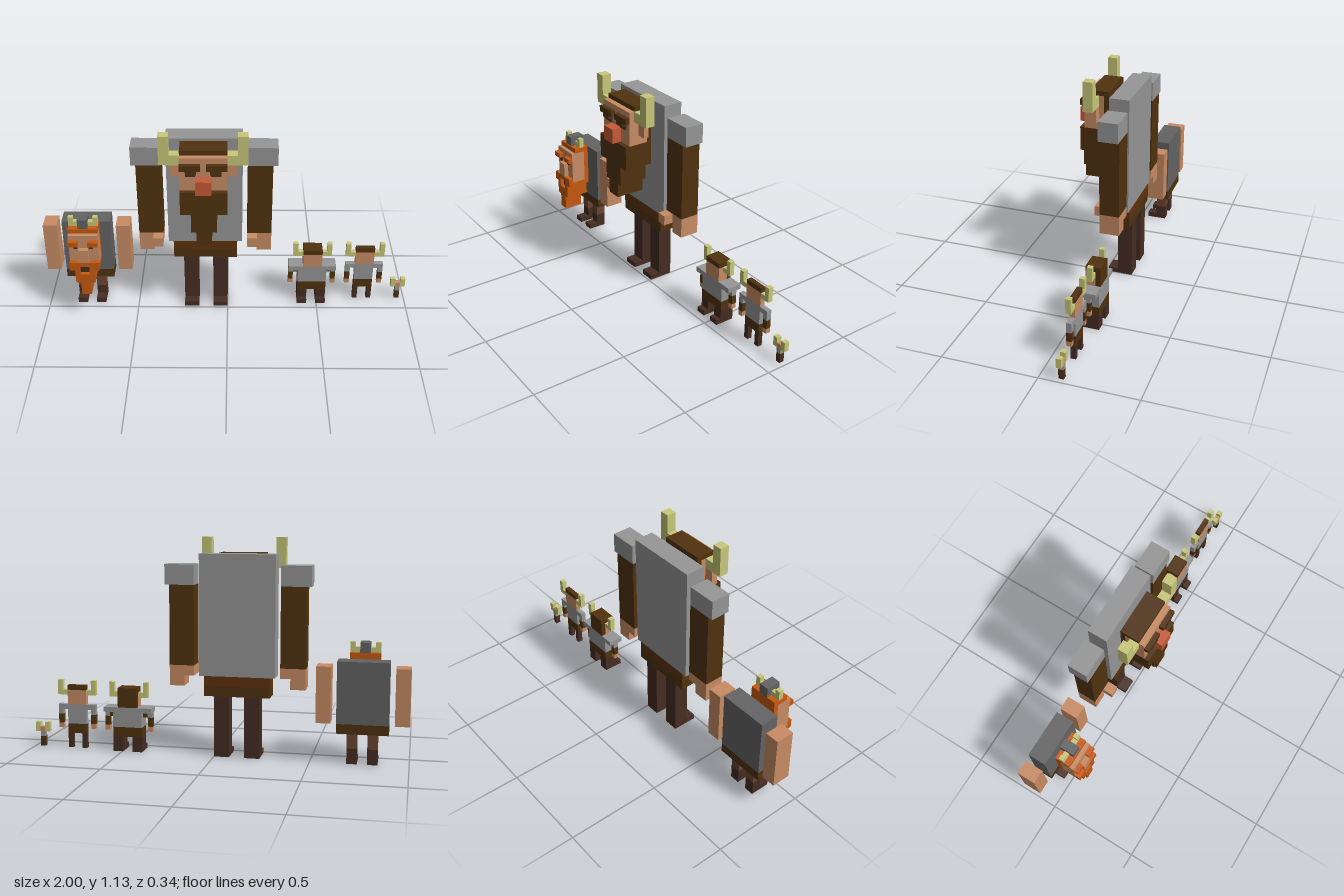
import * as THREE from 'three';

const mat = (name, color) => {
  const m = new THREE.MeshStandardMaterial({ color });
  m.name = name;
  return m;
};

export function createModel() {
  const skin = mat('skin', 0xc88c64), grey = mat('grey', 0x969696), darkGrey = mat('darkGrey', 0x646464);
  const brown = mat('brown', 0x50320f), beltBrown = mat('beltBrown', 0x5f320c), boot = mat('boot', 0x462d23);
  const horn = mat('horn', 0xc8c87a), red = mat('red', 0xc85a37), orange = mat('orange', 0xc8590f);
  const trouser = mat('trouser', 0x6e4632);

  const model = new THREE.Group();
  model.name = 'blockFigures';

  // A figure centred on x = cx; boxes are given by their x, y and z ranges
  const figure = (name, cx) => {
    const group = new THREE.Group();
    group.name = name;
    group.position.x = cx;
    model.add(group);
    const box = (part, m, x0, x1, y0, y1, z0, z1) => {
      const mesh = new THREE.Mesh(new THREE.BoxGeometry(x1 - x0, y1 - y0, z1 - z0), m);
      mesh.position.set((x0 + x1) / 2, (y0 + y1) / 2, (z0 + z1) / 2);
      mesh.name = part;
      group.add(mesh);
    };
    // centred box of half width w
    const mid = (part, m, w, ...yz) => box(part, m, -w, w, ...yz);
    // mirrored pair, given on the +x side
    const pair = (part, m, x0, x1, ...yz) => {
      box(part + 'Left', m, x0, x1, ...yz);
      box(part + 'Right', m, -x1, -x0, ...yz);
    };
    return { mid, pair };
  };

  // Large bearded figure
  {
    const { mid, pair } = figure('giant', -0.12);
    const B = -0.145, F = -0.04;
    pair('leg', boot, 0.04, 0.12, 0, 0.32, B, -0.066);
    pair('foot', boot, 0.04, 0.12, 0, 0.027, -0.066, -0.013);
    mid('kilt', brown, 0.172, 0.32, 0.373, B, F);
    mid('belt', beltBrown, 0.172, 0.373, 0.425, B, F);
    mid('torso', grey, 0.198, 0.425, 1.055, B, F);
    pair('shoulder', grey, 0.225, 0.38, 0.895, 1.0, B, F);
    pair('arm', brown, 0.225, 0.355, 0.478, 0.895, B, F);
    pair('hand', skin, 0.277, 0.355, 0.37, 0.478, B, F);
    pair('thumb', skin, 0.225, 0.277, 0.425, 0.478, B, 0.013);
    // head
    mid('hairBack', brown, 0.12, 0.845, 1.03, -0.013, 0.013);
    mid('hairTop', brown, 0.12, 1.03, 1.055, -0.013, 0.09);
    mid('face', skin, 0.12, 0.845, 1.03, 0.013, 0.12);
    pair('ear', skin, 0.12, 0.17, 0.895, 0.975, 0.04, 0.066);
    pair('hornBase', horn, 0.12, 0.172, 0.975, 1.03, 0.04, 0.092);
    pair('hornTip', horn, 0.172, 0.224, 0.975, 1.135, 0.04, 0.092);
    pair('brow', brown, 0.015, 0.12, 0.968, 1.0, 0.12, 0.145);
    pair('browEnd', brown, 0.035, 0.09, 0.948, 0.968, 0.12, 0.145);
    pair('eye', boot, 0.04, 0.09, 0.928, 0.948, 0.12, 0.127);
    mid('nose', red, 0.04, 0.845, 0.923, 0.12, 0.172);
    mid('beardTop', brown, 0.12, 0.715, 0.845, -0.013, 0.145);
    mid('beardMiddle', brown, 0.066, 0.608, 0.715, -0.013, 0.145);
    mid('beardTip', brown, 0.04, 0.53, 0.608, -0.013, 0.145);
  }

  // Stocky orange-bearded figure
  {
    const { mid, pair } = figure('dwarf', -0.765);
    const B = -0.17, F = -0.07;
    pair('boot', boot, 0.026, 0.078, 0, 0.08, -0.145, -0.092);
    pair('foot', boot, 0.026, 0.078, 0, 0.027, -0.092, -0.04);
    pair('leg', trouser, 0.026, 0.078, 0.08, 0.16, -0.145, -0.092);
    mid('kilt', brown, 0.131, 0.16, 0.21, B, F);
    mid('torso', darkGrey, 0.131, 0.21, 0.528, B, F);
    pair('arm', skin, 0.16, 0.235, 0.21, 0.5, B, F);
    // head
    mid('hairBack', orange, 0.078, 0.32, 0.528, -0.04, -0.013);
    mid('hairTop', orange, 0.078, 0.528, 0.555, -0.04, 0.045);
    mid('face', skin, 0.078, 0.345, 0.528, -0.013, 0.067);
    mid('crest', darkGrey, 0.026, 0.555, 0.608, -0.04, 0.04);
    pair('hornBase', horn, 0.026, 0.078, 0.555, 0.582, -0.013, 0.013);
    pair('hornTip', horn, 0.052, 0.078, 0.582, 0.608, -0.013, 0.013);
    pair('brow', orange, 0.026, 0.078, 0.473, 0.5, 0.067, 0.093);
    pair('eye', boot, 0.03, 0.052, 0.45, 0.473, 0.067, 0.074);
    mid('nose', skin, 0.026, 0.37, 0.45, 0.067, 0.093);
    pair('moustache', orange, 0.026, 0.078, 0.32, 0.37, 0.067, 0.093);
    mid('lip', orange, 0.026, 0.345, 0.37, 0.067, 0.093);
    mid('mouth', boot, 0.026, 0.293, 0.345, 0.06, 0.07);
    pair('beardSide', orange, 0.026, 0.052, 0.24, 0.32, -0.04, 0.093);
    mid('beardCore', orange, 0.026, 0.293, 0.345, -0.04, 0.06);
    pair('jaw', orange, 0.052, 0.078, 0.32, 0.345, -0.013, 0.067);
    mid('beardMiddle', orange, 0.026, 0.24, 0.293, -0.04, 0.093);
    mid('beardTip', orange, 0.026, 0.16, 0.24, -0.013, 0.093);
  }

  // Two small helmeted figures: w is the torso half width, d the half depth
  const B = -0.119, F = -0.092;
  const small = (name, cx, w, legIn, b, f) => {
    const { mid, pair } = figure(name, cx);
    const sh = w + 0.052;
    pair('leg', boot, legIn, w, 0, 0.08, b, f);
    mid('kilt', brown, w, 0.08, 0.132, b, f);
    mid('torso', grey, w, 0.132, 0.238, b, f);
    pair('shoulder', grey, w, sh, 0.211, 0.238, b, f);
    pair('sleeve', grey, sh - 0.026, sh, 0.184, 0.211, B, F);
    pair('arm', brown, sh - 0.026, sh, 0.135, 0.184, B, F);
    pair('hand', skin, sh - 0.026, sh, 0.108, 0.135, B, F);
    mid('hairTop', brown, 0.052, 0.317, 0.343, b, f);
    pair('hornBase', horn, 0.052, 0.08, 0.29, 0.317, B, F);
    pair('hornTip', horn, 0.08, 0.106, 0.29, 0.37, B, F);
    return { mid, pair };
  };
  {
    const { mid, pair } = small('smallFigure', 0.47, 0.079, 0.026, -0.145, -0.066);
    mid('face', skin, 0.052, 0.238, 0.317, B, -0.066);
    mid('hairBack', brown, 0.052, 0.238, 0.317, -0.145, B);
    pair('foot', boot, 0.026, 0.079, 0, 0.027, -0.066, -0.04);
    pair('armInner', brown, 0.079, 0.105, 0.184, 0.211, B, F);
  }
  {
    const { mid } = small('thinFigure', 0.76, 0.052, 0.026, B, F);
    mid('face', skin, 0.052, 0.238, 0.317, B, F);
  }

  // Tiny figure
  {
    const { mid, pair } = figure('tinyFigure', 0.96);
    mid('boots', boot, 0.013, 0, 0.027, B, F);
    mid('kilt', brown, 0.013, 0.027, 0.053, B, F);
    mid('torso', grey, 0.013, 0.053, 0.08, B, F);
    mid('head', skin, 0.013, 0.08, 0.106, B, F);
    pair('hornBase', horn, 0.013, 0.04, 0.08, 0.106, B, F);
    pair('hornTip', horn, 0.014, 0.04, 0.106, 0.132, B, F);
  }

  return model;
}
